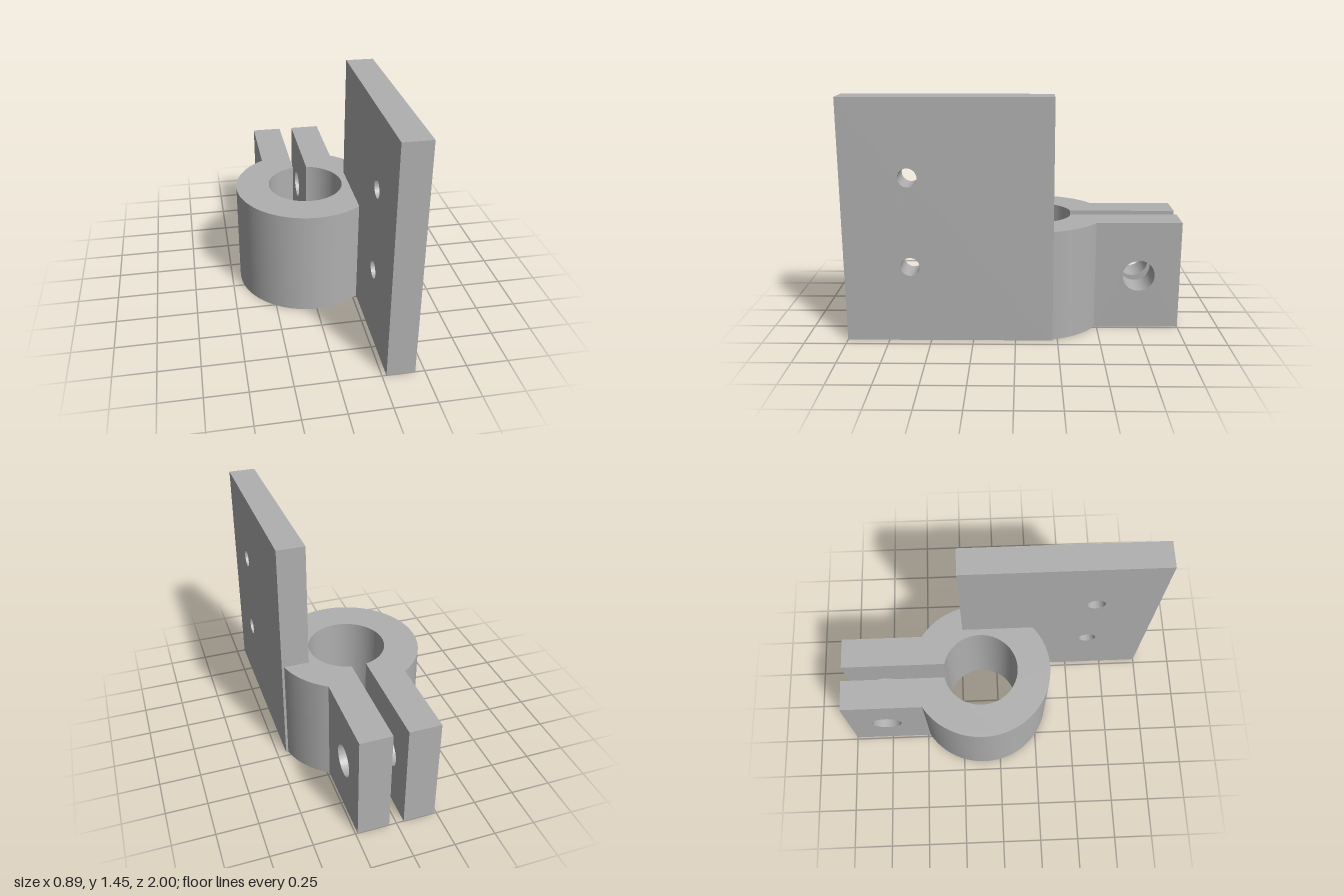
import * as THREE from 'three';
import { toCreasedNormals } from 'three/addons/utils/BufferGeometryUtils.js';

export function createModel() {
  const model = new THREE.Group();
  model.name = 'clampBracket';
  const steel = new THREE.MeshStandardMaterial({ color: 0xb0b0b0 });
  steel.name = 'plain grey';

  const clampHeight = 0.67, outer = 0.443, inner = 0.235;
  const earX = 0.237, slotX = 0.045, centre = 0.11;

  const add = (name, geometry) => {
    const mesh = new THREE.Mesh(toCreasedNormals(geometry, 0.4), steel);
    mesh.name = name;
    model.add(mesh);
  };
  const extrude = (shape, depth) =>
    new THREE.ExtrudeGeometry(shape, { depth, bevelEnabled: false, curveSegments: 64 });

  // Upright slab in the z-y plane, drilled with round holes [z, y, radius]
  const slab = (name, x0, x1, z0, z1, height, holes) => {
    const shape = new THREE.Shape([
      new THREE.Vector2(z0, 0), new THREE.Vector2(z1, 0),
      new THREE.Vector2(z1, height), new THREE.Vector2(z0, height),
    ]);
    for (const [z, y, r] of holes) {
      shape.holes.push(new THREE.Path().absarc(z, y, r, 0, Math.PI * 2, true));
    }
    add(name, extrude(shape, x1 - x0).rotateY(-Math.PI / 2).translate(x1, 0, 0));
  };

  // Split ring, drawn in plan with its slot towards the back
  const a = Math.acos(earX / outer), b = Math.acos(slotX / inner);
  const earStart = centre + outer * Math.sin(a);
  const ring = new THREE.Shape();
  ring.absarc(0, centre, outer, a, Math.PI - a, true);
  ring.lineTo(-slotX, earStart);
  ring.absarc(0, centre, inner, Math.PI - b, b, false);
  ring.lineTo(slotX, earStart);
  ring.closePath();
  add('clampRing', extrude(ring, clampHeight).rotateX(-Math.PI / 2));

  // Clamping ears with the bolt hole
  const bolt = [[-0.75, 0.335, 0.097]];
  slab('leftEar', slotX, earX, -1, -earStart, clampHeight, bolt);
  slab('rightEar', -earX, -slotX, -1, -earStart, clampHeight, bolt);

  // Tall mounting plate with two screw holes
  slab('mountingPlate', 0.276, 0.444, -0.22, 1, 1.445,
    [[0.613, 0.99, 0.055], [0.613, 0.46, 0.055]]);

  return model;
}
